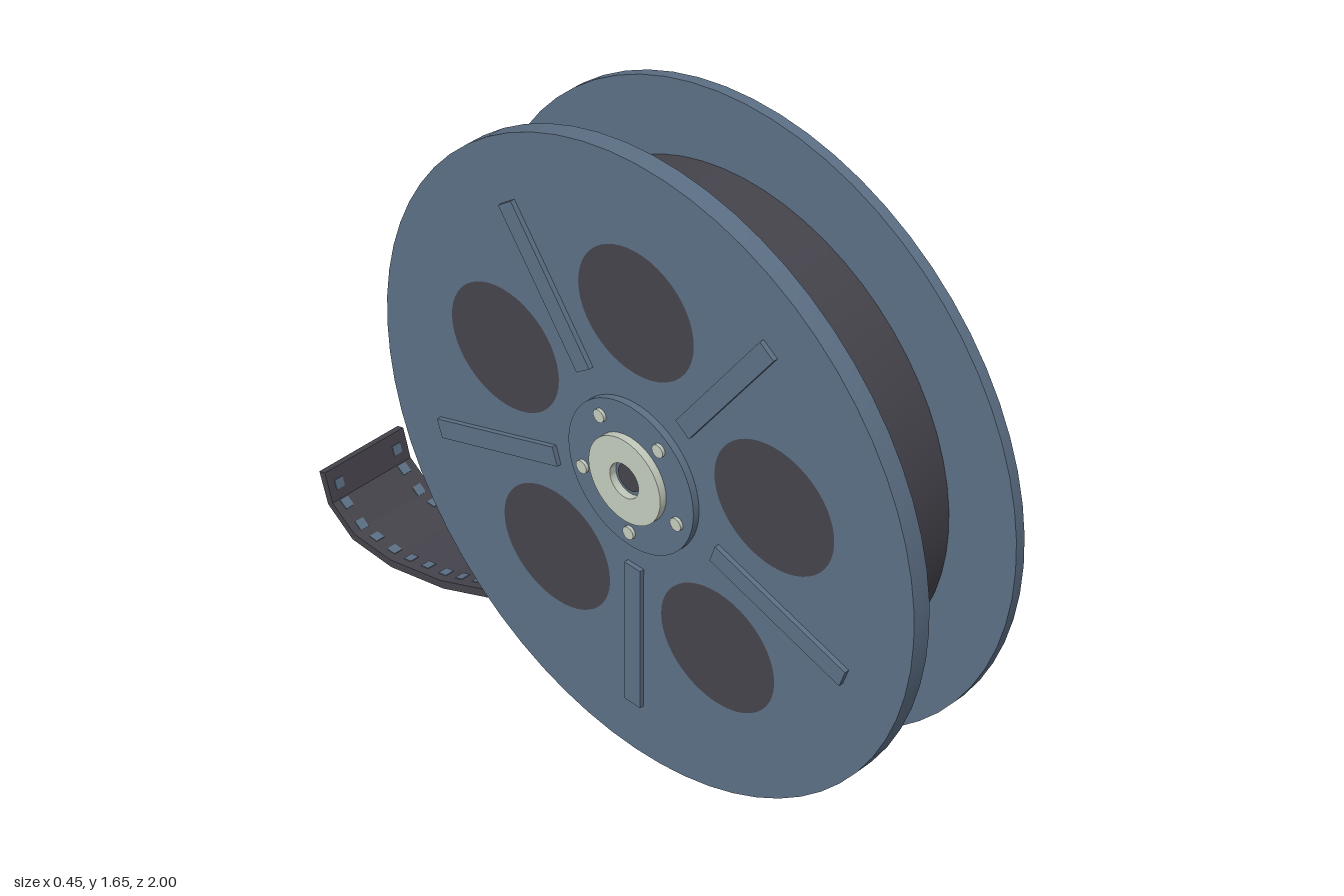
import * as THREE from 'three';
import { toCreasedNormals } from 'three/addons/utils/BufferGeometryUtils.js';

const blue = new THREE.MeshStandardMaterial({ color: 0x5d7086 });
blue.name = 'blueMetal';
const dark = new THREE.MeshStandardMaterial({ color: 0x46444c });
dark.name = 'darkFilm';
const cream = new THREE.MeshStandardMaterial({ color: 0xc3cbbd });
cream.name = 'paleMetal';

function add(parent, name, geometry, material) {
  const mesh = new THREE.Mesh(geometry, material);
  mesh.name = name;
  parent.add(mesh);
  return mesh;
}

// Turned part about the x axis; profile is [radius, x] from the inner face outwards
function turned(profile, segments = 64) {
  const points = profile.map(([r, x]) => new THREE.Vector2(r, x));
  const geometry = new THREE.LatheGeometry(points, segments).rotateZ(-Math.PI / 2);
  return toCreasedNormals(geometry, 0.5);
}

// One flange with its ribs, windows, hub and bolts, facing +x
function flangeSide(name, chamfered) {
  const side = new THREE.Group();
  side.name = name;
  const rim = chamfered ? [[0.82, 0.168], [0.79, 0.19]] : [[0.82, 0.19]];
  add(side, 'flange', turned([[0, 0.141], [0.82, 0.141], ...rim, [0, 0.19]]), blue);
  add(side, 'hubPlate', turned([[0.195, 0.185], [0.195, 0.208], [0, 0.208]]), blue);
  add(side, 'hubRing',
    turned([[0.112, 0.205], [0.112, 0.227], [0.045, 0.227], [0.045, 0.205]], 40), cream);
  add(side, 'spindleHole', new THREE.CircleGeometry(0.036, 24).rotateY(Math.PI / 2), dark)
    .position.x = 0.21;

  for (let i = 0; i < 5; i++) {
    const a = -Math.PI / 2 + (i * 2 * Math.PI) / 5;
    const c = Math.cos(a), s = Math.sin(a);
    // Radial rib
    const rib = add(side, 'rib', new THREE.BoxGeometry(0.02, 0.05, 0.41), blue);
    rib.position.set(0.192, 0.465 * s, 0.465 * c);
    rib.rotation.x = -a;
    // Bolt in line with the rib
    const bolt = add(side, 'bolt',
      new THREE.CylinderGeometry(0.017, 0.017, 0.016, 12).rotateZ(-Math.PI / 2), cream);
    bolt.position.set(0.208, 0.155 * s, 0.155 * c);
    // Oval window between the ribs
    const window_ = add(side, 'window',
      new THREE.CircleGeometry(1, 48).scale(0.175, 0.161, 1).rotateY(Math.PI / 2), dark);
    window_.position.set(0.1915, -0.437 * s, -0.437 * c);
  }
  return side;
}

// Loose end of the film, drawn in (-z, y) and extruded across the width
function filmTail() {
  const tail = new THREE.Group();
  tail.name = 'filmTail';
  const half = 0.011, width = 0.266;
  const points = [
    [-0.12, 0.215], [0.1, 0.196], [0.27, 0.157], [0.36, 0.132], [0.55, 0.055],
    [0.74, 0.013], [0.88, 0.02], [0.962, 0.08], [0.987, 0.167],
  ].map(([u, y]) => new THREE.Vector2(u, y));

  // Offset the centre line to both sides for the strip's thickness
  const normals = points.map((p, i) => {
    const before = points[Math.max(i - 1, 0)];
    const after = points[Math.min(i + 1, points.length - 1)];
    const d = after.clone().sub(before).normalize();
    return new THREE.Vector2(-d.y, d.x).multiplyScalar(half);
  });
  const upper = points.map((p, i) => p.clone().add(normals[i]));
  const lower = points.map((p, i) => p.clone().sub(normals[i]));
  const strip = new THREE.ExtrudeGeometry(new THREE.Shape([...lower, ...upper.reverse()]),
    { depth: width, bevelEnabled: false });
  add(tail, 'filmStrip', strip.translate(0, 0, -width / 2), dark);

  // Two rows of perforations along the upper face
  const path = new THREE.CurvePath();
  for (let i = 1; i < points.length; i++) {
    path.add(new THREE.LineCurve(points[i - 1], points[i]));
  }
  const length = path.getLength();
  for (let d = length - 0.045; d > 0.35; d -= 0.066) {
    const p = path.getPoint(d / length);
    const t = path.getTangent(d / length);
    for (const side of [-1, 1]) {
      const hole = add(tail, 'perforation', new THREE.BoxGeometry(0.027, 0.004, 0.026), blue);
      hole.position.set(p.x - t.y * half, p.y + t.x * half, side * 0.098);
      hole.rotation.z = Math.atan2(t.y, t.x);
    }
  }
  tail.rotation.y = Math.PI / 2;
  return tail;
}

export function createModel() {
  const model = new THREE.Group();
  model.name = 'filmReel';

  const reel = new THREE.Group();
  reel.name = 'reel';
  reel.position.set(-0.003, 0.832, 0.18);
  const right = flangeSide('leftSide', true);
  const left = flangeSide('rightSide', false);
  left.rotation.y = Math.PI;
  reel.add(right, left);

  // Wound film between the flanges
  add(reel, 'filmRoll', turned([[0, -0.141], [0.63, -0.141], [0.63, 0.141], [0, 0.141]]), dark);
  model.add(reel);

  const tail = filmTail();
  tail.position.x = -0.003;
  model.add(tail);
  return model;
}
